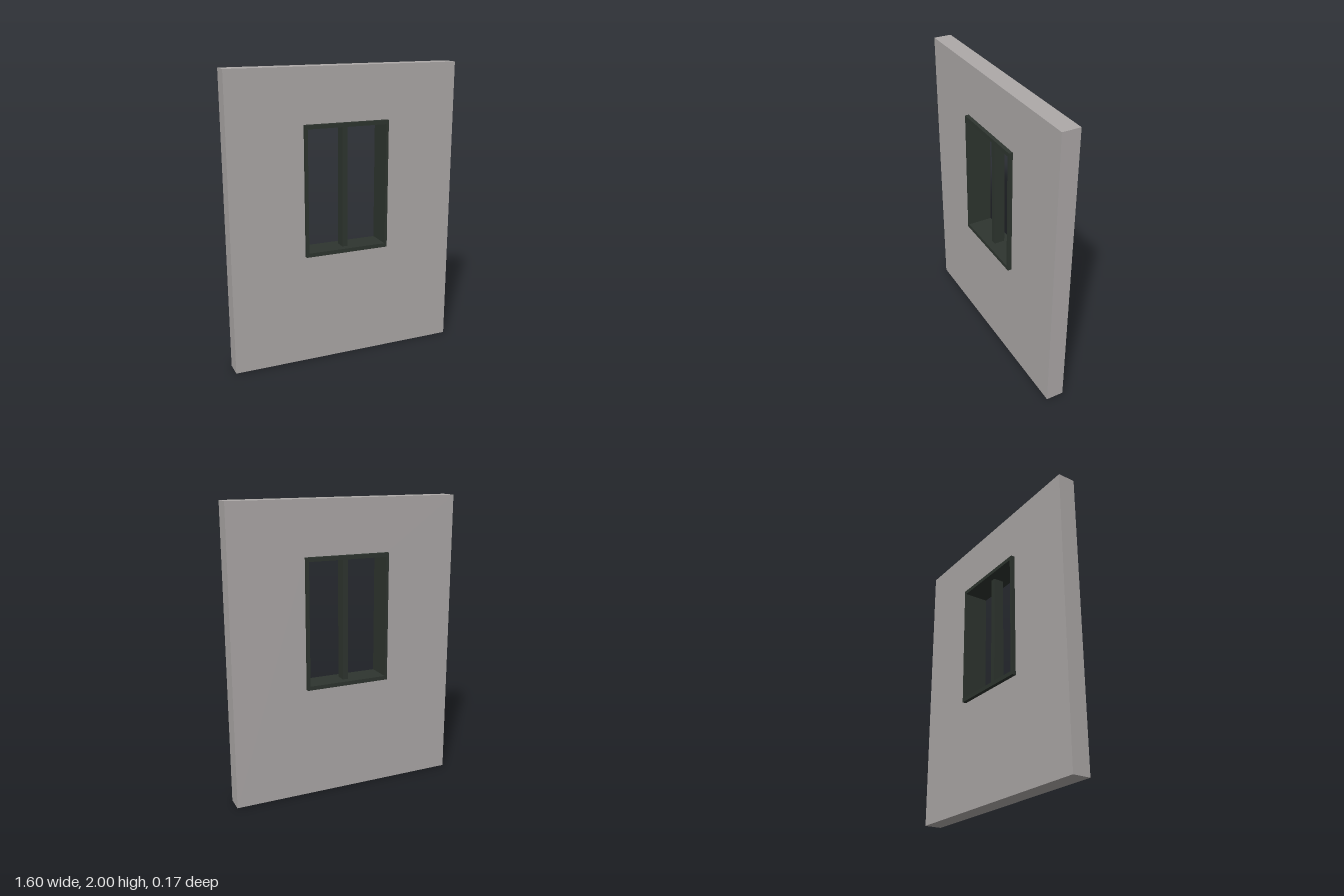
import * as THREE from 'three';

// Rectangular plate with a rectangular opening, extruded and centred on z = 0
function plateWithOpening(outer, inner, depth) {
  const rect = (target, [x0, x1, y0, y1]) => {
    target.moveTo(x0, y0);
    target.lineTo(x1, y0);
    target.lineTo(x1, y1);
    target.lineTo(x0, y1);
    target.closePath();
    return target;
  };
  const shape = rect(new THREE.Shape(), outer);
  shape.holes.push(rect(new THREE.Path(), inner));
  const geometry = new THREE.ExtrudeGeometry(shape, { depth, bevelEnabled: false });
  return geometry.translate(0, 0, -depth / 2);
}

export function createModel() {
  const model = new THREE.Group();
  model.name = 'wallWithWindow';

  const plaster = new THREE.MeshStandardMaterial({ color: 0xada9a8 });
  plaster.name = 'warm grey plaster';
  const paint = new THREE.MeshStandardMaterial({ color: 0x2e352f });
  paint.name = 'dark green paint';

  const add = (name, geometry, material) => {
    const mesh = new THREE.Mesh(geometry, material);
    mesh.name = name;
    model.add(mesh);
    return mesh;
  };

  const opening = [-0.295, 0.295, 0.757, 1.638];
  const glazing = [-0.277, 0.277, 0.784, 1.611];

  // Wall slab, cut through for the window
  add('wall', plateWithOpening([-0.8, 0.8, 0, 2], opening, 0.122), plaster);

  // Window surround, standing proud of the wall on both sides
  add('windowFrame', plateWithOpening(opening, glazing, 0.175), paint);

  // Central upright dividing the window
  const height = glazing[3] - glazing[2];
  const mullion = add('mullion', new THREE.BoxGeometry(0.037, height, 0.075), paint);
  mullion.position.y = glazing[2] + height / 2;

  return model;
}
